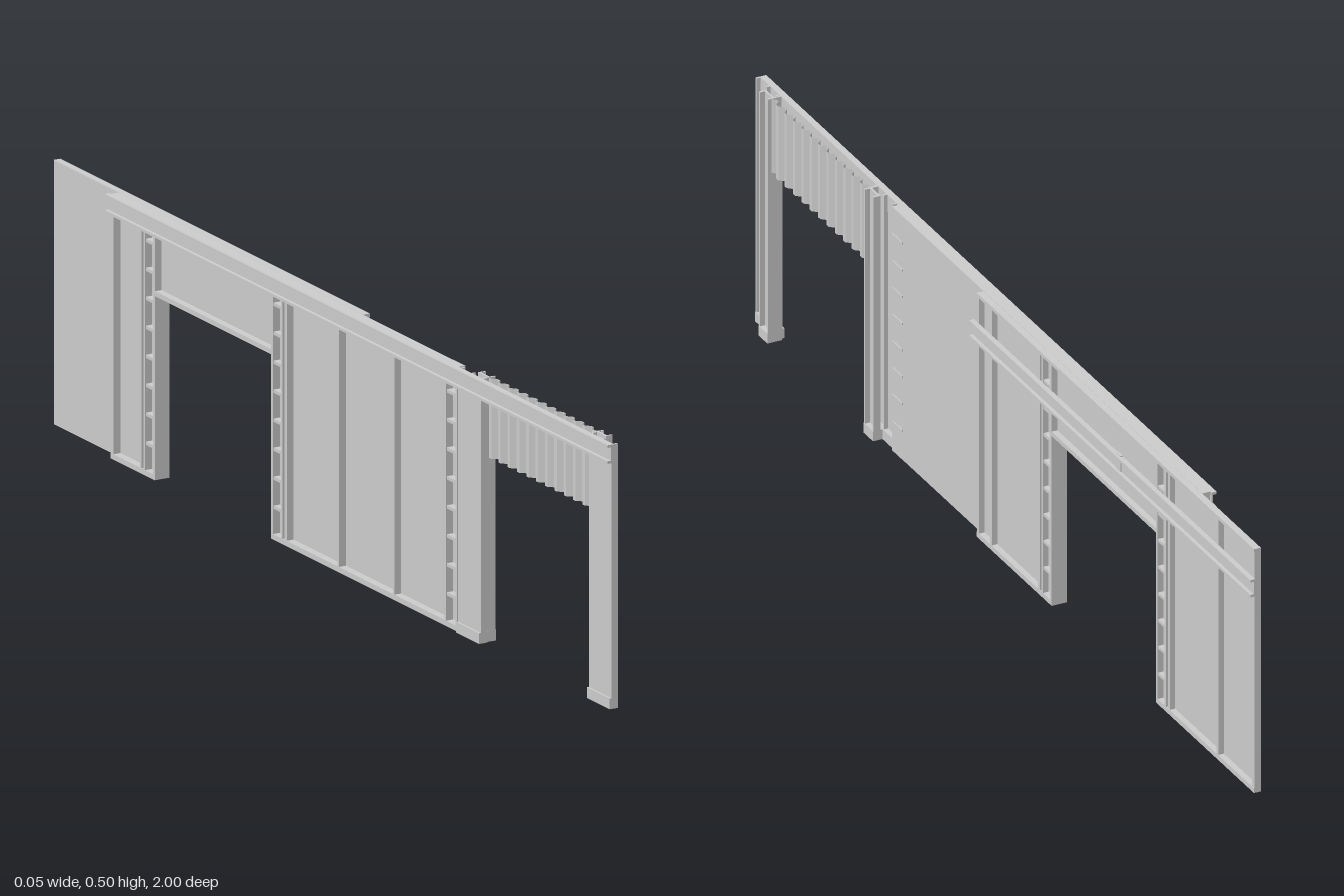
import * as THREE from 'three';

const H = 0.495, DOOR = 0.345;
const steel = new THREE.MeshStandardMaterial({ color: 0xcccccc, flatShading: true });
const thin = new THREE.MeshStandardMaterial({ color: 0xcccccc, flatShading: true, side: THREE.DoubleSide });

// Box given by its extents on each axis
function box(parent, name, xa, xb, y0, y1, z0, z1) {
  const x0 = Math.min(xa, xb), x1 = Math.max(xa, xb);
  const m = new THREE.Mesh(new THREE.BoxGeometry(x1 - x0, y1 - y0, z1 - z0), steel);
  m.position.set((x0 + x1) / 2, (y0 + y1) / 2, (z0 + z1) / 2);
  m.name = name;
  parent.add(m);
  return m;
}

// Flat cladding with a doorway cut out; shape is drawn in (z, y)
function sheet(parent, name, x0, x1, z0, z1, d0, d1) {
  const pts = [[z0, 0], [d0, 0], [d0, DOOR], [d1, DOOR], [d1, 0], [z1, 0], [z1, H], [z0, H]];
  const shape = new THREE.Shape(pts.map(([z, y]) => new THREE.Vector2(-z, y)));
  const geo = new THREE.ExtrudeGeometry(shape, { depth: x1 - x0, bevelEnabled: false });
  geo.rotateY(Math.PI / 2);
  geo.translate(x0, 0, 0);
  const m = new THREE.Mesh(geo, steel);
  m.name = name;
  parent.add(m);
}

// Open post: two flanges tied together by evenly spaced battens
function battenPost(parent, side, depth, z0, z1) {
  const g = new THREE.Group();
  g.name = 'battenPost';
  const t = 0.006, d = side * depth;
  box(g, 'postFlange', 0, d, 0, H, z0, z0 + t);
  box(g, 'postFlange', 0, d, 0, H, z1 - t, z1);
  for (let i = 0; i < 8; i++) {
    const y = 0.06 + i * 0.0543;
    box(g, 'batten', 0, d * 0.9, y - 0.003, y + 0.003, z0 + t, z1 - t);
  }
  box(g, 'postFoot', 0, d, 0, 0.01, z0, z1);
  box(g, 'postCap', 0, d, H - 0.006, H, z0, z1);
  parent.add(g);
}

// Channel rail running along z: web with two lips
function rail(parent, side, xIn, xOut, y0, y1, z0, z1) {
  const g = new THREE.Group();
  g.name = 'rail';
  const a = side * xIn, b = side * xOut, mid = side * (xIn + 0.003);
  box(g, 'railWeb', a, mid, y0, y1, z0, z1);
  box(g, 'railLip', a, b, y0, y0 + 0.005, z0, z1);
  box(g, 'railLip', a, b, y1 - 0.005, y1, z0, z1);
  parent.add(g);
}

// One face of the wall: cladding, edge frames, ribs, posts
function wallFace({ name, side, depth, z0, z1, ribs, posts }) {
  const g = new THREE.Group();
  g.name = name;
  const d0 = -0.61, d1 = -0.2, d = side * depth;
  sheet(g, 'cladding', side > 0 ? 0.0003 : -0.0025, side > 0 ? 0.0025 : -0.0003, z0, z1, d0, d1);
  box(g, 'topFrame', 0.001 * side, d, H - 0.007, H, z0, z1);
  box(g, 'bottomFrame', 0.001 * side, d, 0, 0.01, z0, d0);
  box(g, 'bottomFrame', 0.001 * side, d, 0, 0.01, d1, z1);
  box(g, 'doorHead', 0.001 * side, d, DOOR, DOOR + 0.009, d0, d1);
  for (const [z, w] of ribs) box(g, 'rib', 0.001 * side, d * 0.96, 0, H, z - w / 2, z + w / 2);
  for (const [a, b] of posts) battenPost(g, side, depth, a, b);
  return g;
}

// Gate column: outer channel under the rail plus a small inner channel, on footings
function gateColumn(inner, z0, z1, c0, c1) {
  const g = new THREE.Group();
  g.name = 'gateColumn';
  const t = 0.004;
  box(g, 'columnWeb', -0.018, -0.014, 0, H, z0, z1);
  for (const z of [z0, z1 - t]) box(g, 'columnFlange', -0.018, -0.005, 0, H, z, z + t);
  box(g, 'columnRib', -0.014, -0.006, 0, H, (z0 + z1) / 2 - 0.002, (z0 + z1) / 2 + 0.002);
  box(g, 'jambWeb', 0.0, 0.004, 0, H, c0, c1);
  for (const z of [c0, c1 - t]) box(g, 'jambFlange', 0.0, 0.014, 0, H, z, z + t);
  const zi = inner > 0 ? c1 - t : c0;
  box(g, 'jambPlate', -0.014, 0.002, 0, H, zi, zi + t);
  box(g, 'footing', -0.022, -0.004, 0, 0.02, z0, z1);
  box(g, 'footing', -0.004, 0.015, 0, 0.02, c0, c1);
  return g;
}

// Corrugated infill above the gate
function corrugated(z0, z1) {
  const waves = 12, n = waves * 4;
  const geo = new THREE.PlaneGeometry(z1 - z0, H - DOOR, n, 1);
  const p = geo.attributes.position;
  for (let i = 0; i < p.count; i++) {
    const k = (i % (n + 1)) % 4;
    p.setZ(i, k < 2 ? 0.005 : -0.004);
  }
  geo.rotateY(Math.PI / 2);
  geo.translate(0.004, (H + DOOR) / 2, (z0 + z1) / 2);
  geo.computeVertexNormals();
  const m = new THREE.Mesh(geo, thin);
  m.name = 'corrugatedPanel';
  return m;
}

export function createModel() {
  const root = new THREE.Group();
  root.name = 'slidingDoorWall';

  // Wall face towards +x
  root.add(wallFace({
    name: 'leftWallFace', side: 1, depth: 0.014, z0: -0.995, z1: 0.095,
    ribs: [[0.09, 0.008], [0.04, 0.008], [-0.15, 0.008], [-0.66, 0.006], [-0.85, 0.008], [-0.991, 0.008]],
    posts: [[-0.2, -0.16], [-0.65, -0.61]],
  }));

  // Wall face towards -x
  root.add(wallFace({
    name: 'rightWallFace', side: -1, depth: 0.017, z0: -0.765, z1: 0.455,
    ribs: [[-0.76, 0.008], [-0.66, 0.006], [-0.15, 0.008], [0.035, 0.006], [0.23, 0.006]],
    posts: [[-0.2, -0.16], [-0.65, -0.61], [0.41, 0.455]],
  }));

  // Battens showing through on the end post
  for (let i = 0; i < 8; i++) {
    const y = 0.06 + i * 0.0543;
    box(root, 'endBatten', -0.001, 0.002, y - 0.002, y + 0.002, 0.412, 0.45);
  }

  // Door rails on both faces
  rail(root, 1, 0.014, 0.024, 0.402, 0.437, -1, 0.105);
  rail(root, -1, 0.016, 0.026, 0.46, H, -0.77, 1);
  box(root, 'railSplice', 0.014, 0.019, 0.4, 0.439, -0.48, -0.46);

  // Gate opening
  root.add(gateColumn(-1, 0.92, 1, 0.915, 0.95));
  root.add(gateColumn(1, 0.46, 0.54, 0.5, 0.537));
  root.add(corrugated(0.53, 0.925));
  box(root, 'gateHeader', -0.017, -0.013, 0.46, H, 0.455, 1);
  return root;
}
